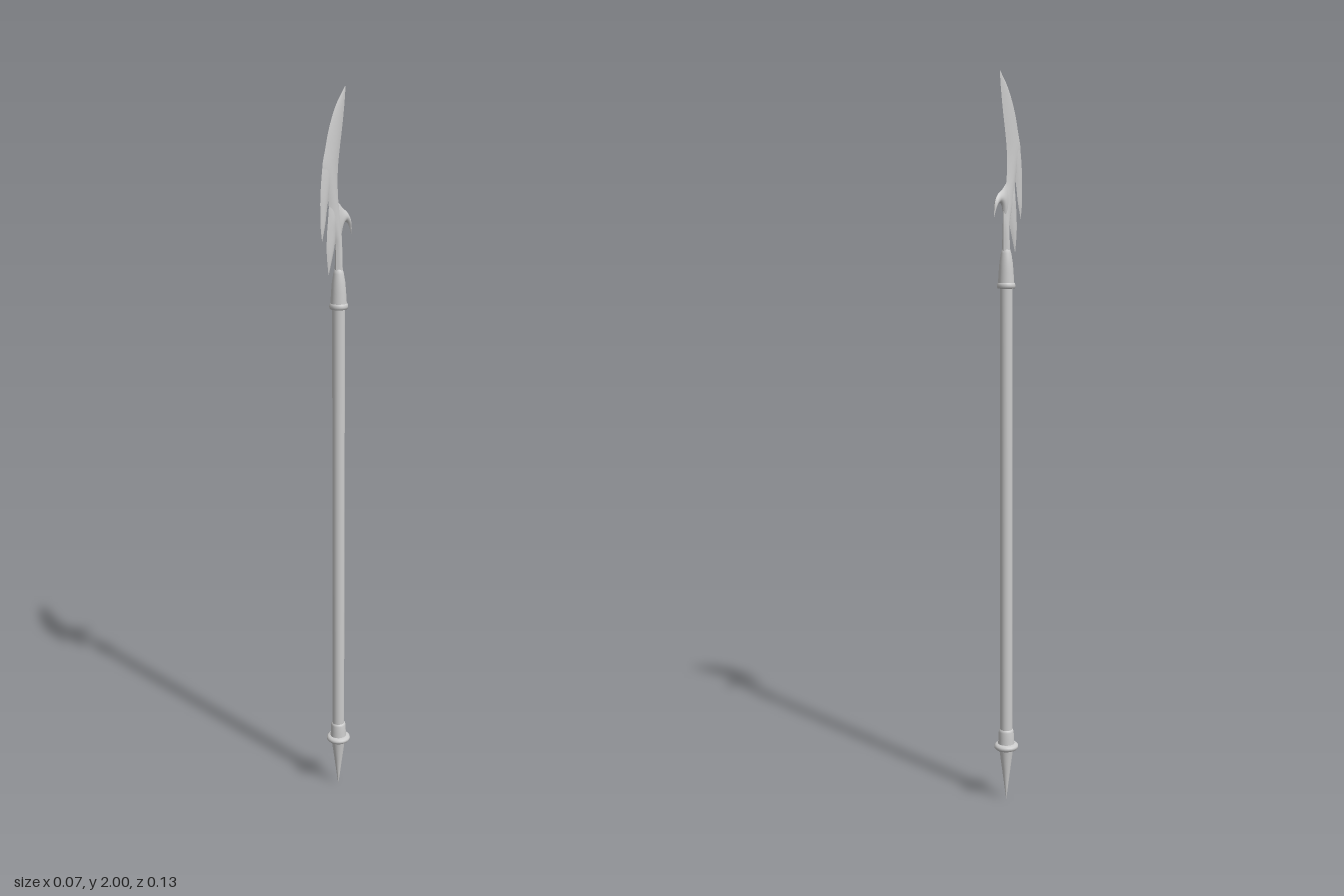
import * as THREE from 'three';

const AXIS_Z = -0.01;
const material = new THREE.MeshStandardMaterial({ color: 0xcccccc, side: THREE.DoubleSide });

function addMesh(parent, name, geometry) {
  const mesh = new THREE.Mesh(geometry, material);
  mesh.name = name;
  parent.add(mesh);
  return mesh;
}

// Turned part on the pole axis, profile given as [radius, y]
function turned(parent, name, profile, sides = 24) {
  const points = profile.map(([r, y]) => new THREE.Vector2(r, y));
  addMesh(parent, name, new THREE.LatheGeometry(points, sides)).position.z = AXIS_Z;
}

// Lens-section blade through rows [frontZ, frontY, backZ, backY, half thickness]
function lensBlade(rows, steps, cols = 8) {
  const front = new THREE.CatmullRomCurve3(
    rows.map(([z, y, , , t]) => new THREE.Vector3(t, y, z)), false, 'catmullrom', 0.5);
  const back = new THREE.CatmullRomCurve3(
    rows.map(([, , z, y]) => new THREE.Vector3(0, y, z)), false, 'catmullrom', 0.5);
  const positions = [];
  const index = [];
  for (const side of [1, -1]) {
    const base = positions.length / 3;
    for (let i = 0; i <= steps; i++) {
      const f = front.getPoint(i / steps);
      const b = back.getPoint(i / steps);
      const thickness = Math.max(f.x, 0);
      for (let j = 0; j <= cols; j++) {
        const v = j / cols;
        const u = 2 * v - 1;
        positions.push(side * thickness * (1 - u * u),
          THREE.MathUtils.lerp(f.y, b.y, v), THREE.MathUtils.lerp(f.z, b.z, v));
        if (i < steps && j < cols) {
          const a = base + i * (cols + 1) + j;
          const up = a + cols + 1;
          if (side > 0) index.push(a, a + 1, up, a + 1, up + 1, up);
          else index.push(a, up, a + 1, a + 1, up, up + 1);
        }
      }
    }
  }
  const geometry = new THREE.BufferGeometry();
  geometry.setAttribute('position', new THREE.Float32BufferAttribute(positions, 3));
  geometry.setIndex(index);
  geometry.computeVertexNormals();
  return geometry;
}

export function createModel() {
  const model = new THREE.Group();
  model.name = 'polearm';

  // Pole with its butt fittings
  turned(model, 'shaft', [[0.017, 0.19], [0.017, 1.45]]);
  turned(model, 'buttSpike', [[0, 0], [0.003, 0.02], [0.012, 0.09], [0.02, 0.15]], 16);
  turned(model, 'buttRing', [[0.018, 0.148], [0.029, 0.149], [0.033, 0.153], [0.034, 0.157],
    [0.033, 0.161], [0.029, 0.165], [0.02, 0.166]]);
  turned(model, 'buttCollar', [[0.023, 0.163], [0.022, 0.18], [0.021, 0.2], [0.019, 0.206],
    [0.016, 0.207]]);

  // Socket joining pole and blade
  turned(model, 'socketRim', [[0.016, 1.436], [0.023, 1.437], [0.025, 1.443], [0.024, 1.45],
    [0.02, 1.453]]);
  turned(model, 'socket', [[0.022, 1.448], [0.02, 1.48], [0.018, 1.505], [0.014, 1.53],
    [0.01, 1.542], [0, 1.545]]);

  // Blade head: every piece runs upward, front edge then back edge
  const head = new THREE.Group();
  head.name = 'bladeHead';
  model.add(head);

  addMesh(head, 'mainBlade', lensBlade([
    [0.006, 1.48, -0.026, 1.48, 0.012],
    [0.002, 1.55, -0.023, 1.55, 0.011],
    [0.003, 1.60, -0.023, 1.60, 0.009],
    [0.012, 1.63, -0.023, 1.63, 0.008],
    [0.028, 1.67, -0.022, 1.67, 0.0075],
    [0.032, 1.71, -0.010, 1.71, 0.007],
    [0.042, 1.75, -0.006, 1.75, 0.0065],
    [0.0585, 1.80, -0.007, 1.80, 0.006],
    [0.046, 1.85, -0.015, 1.85, 0.005],
    [0.030, 1.90, -0.025, 1.90, 0.004],
    [0.001, 1.955, -0.034, 1.955, 0.0025],
    [-0.039, 2.00, -0.039, 2.00, 0],
  ], 55));

  addMesh(head, 'upperBarb', lensBlade([
    [0.060, 1.62, 0.060, 1.62, 0],
    [0.066, 1.66, 0.047, 1.66, 0.003],
    [0.067, 1.70, 0.039, 1.70, 0.004],
    [0.066, 1.74, 0.029, 1.74, 0.005],
    [0.0585, 1.80, 0.008, 1.80, 0.005],
    [0.044, 1.85, 0, 1.85, 0],
  ], 25));

  addMesh(head, 'lowerBarb', lensBlade([
    [0.033, 1.53, 0.033, 1.53, 0],
    [0.039, 1.57, 0.018, 1.57, 0.004],
    [0.041, 1.60, 0.008, 1.60, 0.006],
    [0.039, 1.64, 0, 1.64, 0.007],
    [0.034, 1.68, 0, 1.68, 0.007],
    [0.028, 1.74, 0.01, 1.74, 0],
  ], 25));

  // Rear hook, from its drooping tip into the blade
  addMesh(head, 'rearHook', lensBlade([
    [-0.067, 1.62, -0.067, 1.62, 0],
    [-0.055, 1.648, -0.062, 1.66, 0.005],
    [-0.038, 1.66, -0.049, 1.682, 0.007],
    [-0.024, 1.645, -0.028, 1.696, 0.008],
    [-0.015, 1.61, -0.010, 1.712, 0.007],
    [0.005, 1.61, 0.008, 1.72, 0.003],
  ], 25));

  return model;
}
